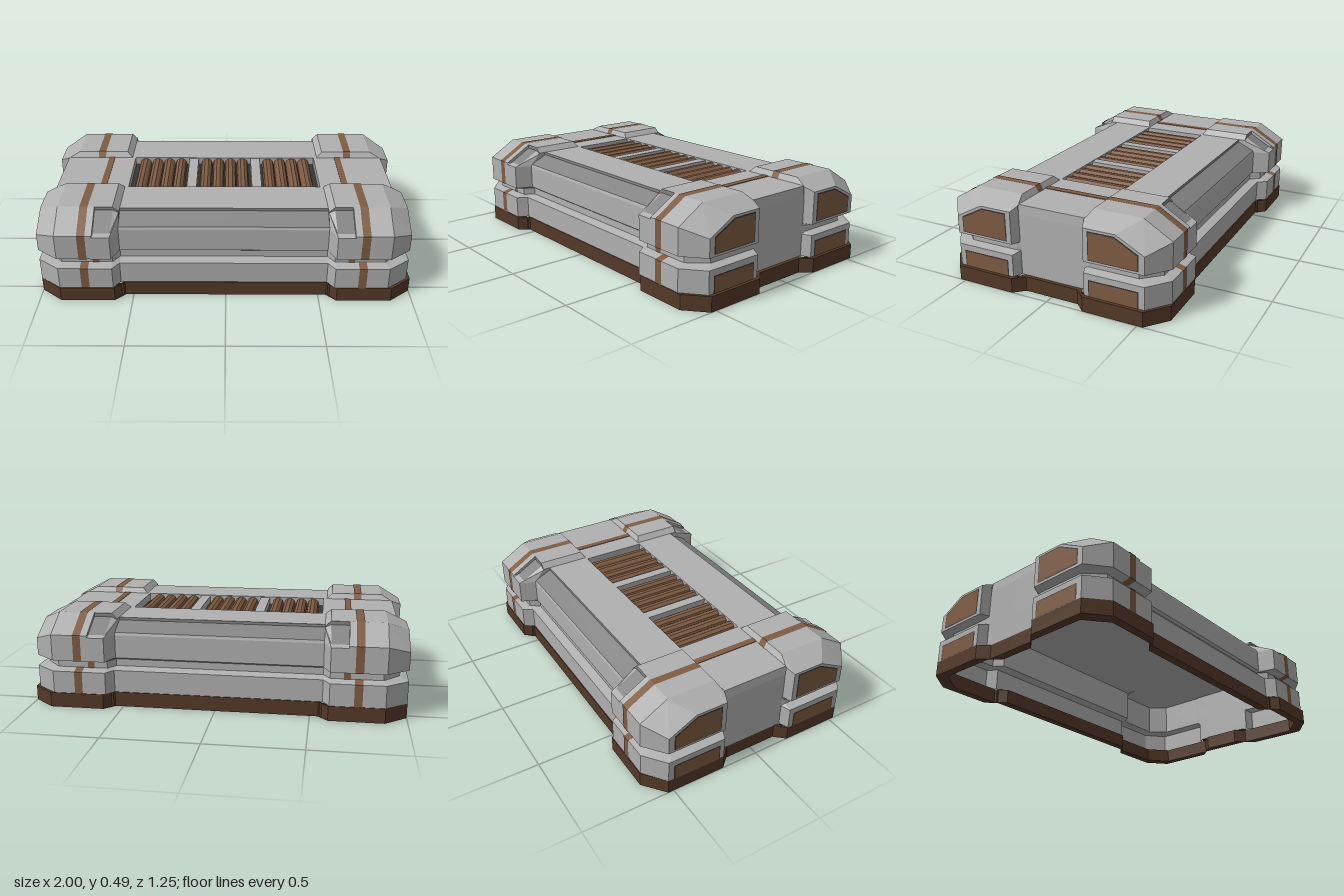
import * as THREE from 'three';

const mat = (color) => new THREE.MeshStandardMaterial({ color, flatShading: true, side: THREE.DoubleSide });
const grey = mat(0xb0b0b0), recessGrey = mat(0x848484), brown = mat(0x7f5c42);
const darkBrown = mat(0x543928), dark = mat(0x3a3634);

// Mesh from flat polygons [x,y,z], each turned to face away from a centre point
function polyMesh(name, polys, material, centre = [0, 0, 0]) {
  const pos = [], c = new THREE.Vector3(...centre);
  for (const poly of polys) {
    const v = poly.map((p) => new THREE.Vector3(...p));
    for (let i = 1; i < v.length - 1; i++) {
      const n = v[i].clone().sub(v[0]).cross(v[i + 1].clone().sub(v[0]));
      const tri = n.dot(v[0].clone().sub(c)) < 0 ? [v[0], v[i + 1], v[i]] : [v[0], v[i], v[i + 1]];
      tri.forEach((p) => pos.push(p.x, p.y, p.z));
    }
  }
  const g = new THREE.BufferGeometry();
  g.setAttribute('position', new THREE.Float32BufferAttribute(pos, 3));
  g.computeVertexNormals();
  const m = new THREE.Mesh(g, material);
  m.name = name;
  return m;
}

// Full plan outline from one quarter [x,z], first point on x = 0, last on z = 0
function outline(q) {
  const back = q.slice(0, -1).reverse();
  return [...q, ...back.map(([x, z]) => [x, -z]), ...q.slice(1).map(([x, z]) => [-x, -z]),
    ...back.slice(0, -1).map(([x, z]) => [-x, z])];
}

// Skin between stacked outlines [quarter, y]
function loft(name, levels, material) {
  const pos = [], idx = [];
  const rings = levels.map(([q, y]) => outline(q).map(([x, z]) => [x, y, z]));
  const n = rings[0].length;
  rings.forEach((r) => r.forEach((p) => pos.push(...p)));
  for (let k = 0; k < rings.length - 1; k++)
    for (let i = 0; i < n; i++) {
      const a = k * n + i, b = k * n + (i + 1) % n;
      idx.push(a, b, b + n, a, b + n, a + n);
    }
  const g = new THREE.BufferGeometry();
  g.setAttribute('position', new THREE.Float32BufferAttribute(pos, 3));
  g.setIndex(idx);
  const flat = g.toNonIndexed();
  flat.computeVertexNormals();
  const m = new THREE.Mesh(flat, material);
  m.name = name;
  return m;
}

function box(name, w, h, d, x, y, z, material) {
  const m = new THREE.Mesh(new THREE.BoxGeometry(w, h, d), material);
  m.position.set(x, y, z);
  m.name = name;
  return m;
}

const block = [[0, .565], [.555, .565], [.59, .62], [.875, .62], [.99, .53], [.99, .205], [.94, .185], [.94, 0]];
const upper = block.map(([x, z], i) => [x, i < 2 ? .53 : z]);
const core = [[0, .515], [.555, .515], [.59, .57], [.86, .57], [.945, .48], [.945, .205], [.94, .185], [.94, 0]];
const skirt = [[0, .57], [.555, .57], [.595, .624], [.885, .624], [1, .53], [1, .205], [.95, .15], [.95, 0]];
const inset = (q, d) => q.map(([x, z]) => [x ? x - d : 0, z ? z - d : 0]);
const ceilingY = .398;

// One corner pod, (sx, sz) choosing the corner
function cornerPod(sx, sz) {
  const pod = new THREE.Group();
  pod.name = 'cornerPod';
  const add = (name, polys, m) => pod.add(polyMesh(name,
    polys.map((p) => p.map(([x, y, z]) => [x * sx, y, z * sz])), m, [.77 * sx, .3, .4 * sz]));
  const B = .26, I = .4;
  // Faceted cap: flat roof, front slope, end slope, corner slope, then walls
  add('podCap', [
    [[.68, .49, .205], [.875, .49, .205], [.875, .49, .47], [.68, .49, .47]],
    [[.68, .49, .47], [.875, .49, .47], [.875, .4, .62], [.68, .4, .62]],
    [[.875, .49, .205], [.99, .435, .205], [.99, .435, .38], [.875, .49, .47]],
    [[.875, .49, .47], [.99, .435, .38], [.99, .355, .53], [.875, .4, .62]],
    [[.68, B, .62], [.875, B, .62], [.875, .4, .62], [.68, .4, .62]],
    [[.875, B, .62], [.99, B, .53], [.99, .355, .53], [.875, .4, .62]],
    [[.99, B, .53], [.99, B, .205], [.99, .435, .205], [.99, .435, .38], [.99, .355, .53]],
    [[.99, B, .205], [.94, B, .187], [.94, .455, .187], [.99, .435, .205]],
    [[.94, .455, .187], [.99, .435, .205], [.875, .49, .205], [.875, .46, .187]],
    [[.875, .46, .187], [.875, .49, .205], [.585, .49, .205], [.555, .46, .187]],
    [[.68, .4, .62], [.68, .49, .47], [.68, .47, .47], [.68, .4, .59]],
  ], grey);
  // Inner shoulder with a lowered front
  add('podShoulder', [
    [[.585, .49, .205], [.68, .49, .205], [.68, .49, .47], [.585, .49, .47]],
    [[.555, .46, .187], [.585, .49, .205], [.585, .49, .47], [.555, .46, .47]],
    [[.59, .4, .59], [.68, .4, .59], [.68, .39, .62], [.59, .39, .62]],
    [[.555, .455, .47], [.585, .47, .47], [.59, .4, .59], [.59, .39, .62], [.555, .39, .53]],
    [[.59, B, .62], [.68, B, .62], [.68, .39, .62], [.59, .39, .62]],
    [[.555, B, .53], [.59, B, .62], [.59, .39, .62], [.555, .39, .53]],
    [[.555, I, .43], [.555, .46, .43], [.555, .46, .47], [.555, .39, .53]],
  ], grey);
  add('shoulderRecess', [
    [[.585, .47, .47], [.68, .47, .47], [.68, .4, .59], [.59, .4, .59]],
    [[.555, .455, .47], [.555, .46, .47], [.585, .49, .47], [.68, .49, .47], [.68, .47, .47], [.585, .47, .47]],
  ], recessGrey);
  // Painted stripes following the pod profile
  const stripe = (name, x0, x1, path) => add(name, path.slice(1).map(([z, y], i) =>
    [[x0, path[i][1], path[i][0]], [x1, path[i][1], path[i][0]], [x1, y, z], [x0, y, z]]), brown);
  stripe('upperStripe', .715, .758, [[.573, .25], [.623, .26], [.623, .402], [.471, .493], [.205, .493], [.186, .46]]);
  stripe('lowerStripe', .715, .758, [[.623, .08], [.623, .2], [.573, .213]]);
  stripe('grooveStripe', .66, .695, [[.573, .21], [.573, .25]]);
  // End panels with dark borders
  const panel = (name, x, m, pts) => add(name, [pts.map(([z, y]) => [x, y, z])], m);
  panel('upperPanelBorder', .991, dark, [[.5, .272], [.231, .272], [.231, .424], [.373, .424], [.5, .357]]);
  panel('upperPanel', .993, brown, [[.494, .277], [.237, .277], [.237, .417], [.372, .417], [.494, .352]]);
  panel('lowerPanelBorder', .991, dark, [[.5, .08], [.231, .08], [.231, .169], [.5, .169]]);
  panel('lowerPanel', .993, brown, [[.494, .08], [.237, .08], [.237, .163], [.494, .163]]);
  return pod;
}

export function createModel() {
  const model = new THREE.Group();
  model.name = 'armouredCrate';

  // Hollow base skirt
  model.add(loft('baseSkirt', [[inset(skirt, .045), .08], [inset(skirt, .045), 0], [skirt, 0], [skirt, .08],
    [inset(block, .02), .08]], darkBrown));

  const hull = new THREE.Group();
  hull.name = 'hull';
  hull.position.x = -.01;
  model.add(hull);

  // Outer wall, and the upright core that shows in the groove and lines the hollow inside
  hull.add(loft('lowerWall', [[block, .08], [block, .2], [core, .212]], grey));
  hull.add(loft('coreWall', [[core, .212], [core, ceilingY]], grey));
  hull.add(loft('upperLip', [[core, .25], [upper, .26]], grey));

  // Inner ceiling
  const shape = new THREE.Shape(outline(core).map(([x, z]) => new THREE.Vector2(x, z)));
  const ceiling = new THREE.Mesh(new THREE.ShapeGeometry(shape).rotateX(Math.PI / 2), grey);
  ceiling.position.y = ceilingY;
  ceiling.name = 'innerCeiling';
  hull.add(ceiling);

  for (const s of [1, -1]) {
    // Long side bodies: wall, recessed slope under a lip, and deck
    const side = (name, path, m) => hull.add(polyMesh(name, path.slice(1).map(([z, y], i) => {
      const [z0, y0] = path[i];
      return [[-.555, y0, z0 * s], [.555, y0, z0 * s], [.555, y, z * s], [-.555, y, z * s]];
    }), m, [0, .3, .3 * s]));
    side('sideWall', [[.53, .26], [.53, .385], [.525, .4]], grey);
    side('sideRecess', [[.525, .4], [.43, .445], [.43, .46]], recessGrey);
    side('sideDeck', [[.43, .46], [.185, .46], [.185, .41]], grey);

    // Level end plates between the pods, with upright end walls
    const end = [[.535, .41], [.535, .46], [.936, .46], [.94, .41], [.94, .25]];
    hull.add(polyMesh('endPlate', end.slice(1).map(([x, y], i) => {
      const [x0, y0] = end[i];
      return [[x0 * s, y0, -.187], [x0 * s, y0, .187], [x * s, y, .187], [x * s, y, -.187]];
    }), grey, [.7 * s, .3, 0]));
    hull.add(box('endPlateStripe', .035, .006, .374, .677 * s, .46, 0, brown));
    hull.add(box('ventDivider', .055, .04, .37, .183 * s, .436, 0, grey));
    for (const t of [1, -1]) hull.add(cornerPod(s, t));
  }

  // Vent well with three banks of ridged slats
  hull.add(box('ventFloor', 1.07, .012, .37, 0, .411, 0, dark));
  for (let bank = -1; bank <= 1; bank++)
    for (let i = 0; i < 4; i++) {
      const ridge = new THREE.CylinderGeometry(.034, .034, .368, 5, 1, true, Math.PI / 2, Math.PI);
      const slat = new THREE.Mesh(ridge, brown);
      slat.rotation.x = Math.PI / 2;
      slat.position.set(bank * .367 + (i - 1.5) * .071, .422, 0);
      slat.name = 'ventSlat';
      hull.add(slat);
    }
  return model;
}
